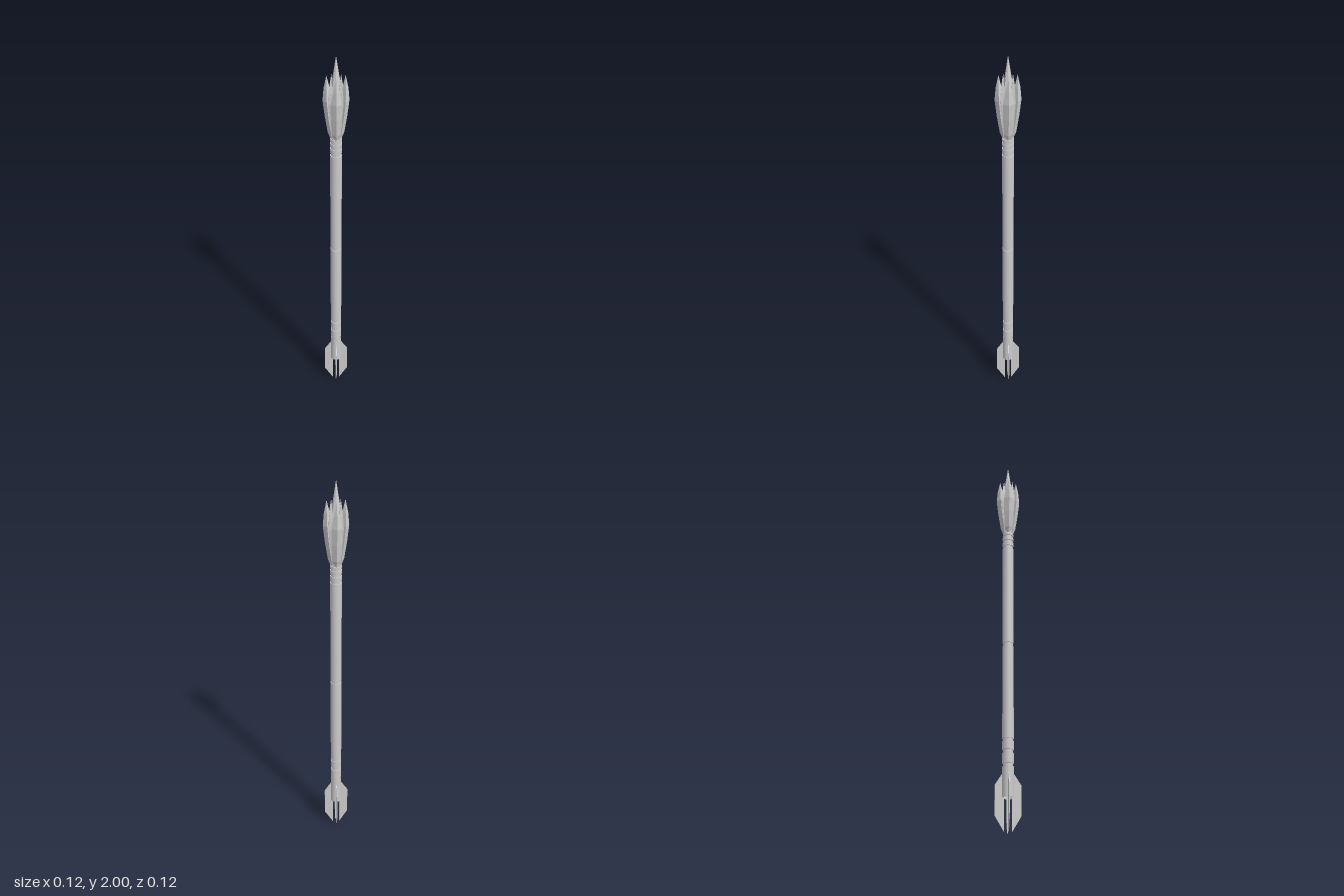
import * as THREE from 'three';

const flat = new THREE.MeshStandardMaterial({ color: 0xcccccc, flatShading: true, side: THREE.DoubleSide });
const smooth = new THREE.MeshStandardMaterial({ color: 0xcccccc, side: THREE.DoubleSide });

function add(parent, name, geometry, material) {
  const mesh = new THREE.Mesh(geometry, material);
  mesh.name = name;
  parent.add(mesh);
  return mesh;
}

// Pointed tongue along +x: four-sided cross-sections [y, inner x, outer x, half width]
function tongueGeometry(sections) {
  const pos = [], index = [];
  for (const [y, inner, outer, w] of sections) {
    const mid = inner + (outer - inner) * 0.55;
    pos.push(outer, y, 0, mid, y, -w, inner, y, 0, mid, y, w);
  }
  for (let s = 0; s < sections.length - 1; s++) {
    for (let i = 0; i < 4; i++) {
      const a = s * 4 + i, b = s * 4 + (i + 1) % 4;
      index.push(a, b, b + 4, a, b + 4, a + 4);
    }
  }
  const g = new THREE.BufferGeometry();
  g.setAttribute('position', new THREE.Float32BufferAttribute(pos, 3));
  g.setIndex(index);
  g.computeVertexNormals();
  return g;
}

export function createModel() {
  const group = new THREE.Group();

  // Shaft sections, with narrow grooves left between them
  const R = 0.028, bands = [
    [0.16, 0.31], [0.324, 0.376], [0.39, 0.435], [0.446, 0.93],
    [0.944, 1.49], [1.502, 1.526], [1.536, 1.556], [1.564, 1.58],
  ];
  const shaft = new THREE.Group();
  shaft.name = 'shaft';
  group.add(shaft);
  bands.forEach(([y0, y1], i) => {
    add(shaft, 'shaftSection', new THREE.CylinderGeometry(R, R, y1 - y0, 20, 1, i === 0), smooth)
      .position.y = (y0 + y1) / 2;
  });
  add(shaft, 'shaftCore', new THREE.CylinderGeometry(0.0245, 0.0245, 1.38, 20), smooth).position.y = 0.89;

  // Four tail fins reaching below the shaft
  const outline = [[0.018, 0], [0.062, 0.075], [0.062, 0.222], [0.028, 0.275], [0.018, 0.275]];
  const finShape = new THREE.Shape(outline.map(p => new THREE.Vector2(...p)));
  const finGeometry = new THREE.ExtrudeGeometry(finShape, { depth: 0.005, bevelEnabled: false });
  finGeometry.translate(0, 0, -0.0025);

  // Flame tongues: large ones on the axes, smaller ones between
  const large = tongueGeometry([
    [1.58, 0, 0.026, 0.014], [1.61, 0.005, 0.038, 0.02], [1.7, 0.015, 0.052, 0.025],
    [1.78, 0.02, 0.061, 0.026], [1.84, 0.028, 0.056, 0.015], [1.905, 0.043, 0.043, 0],
  ]);
  const small = tongueGeometry([
    [1.58, 0, 0.026, 0.012], [1.64, 0.005, 0.035, 0.016], [1.77, 0.012, 0.049, 0.018],
    [1.83, 0.018, 0.045, 0.012], [1.9, 0.031, 0.031, 0],
  ]);
  const flame = new THREE.Group();
  flame.name = 'flame';
  group.add(flame);
  for (let i = 0; i < 4; i++) {
    const angle = i * Math.PI / 2;
    add(group, 'tailFin', finGeometry, flat).rotation.y = angle;
    add(flame, 'largeTongue', large, flat).rotation.y = angle;
    add(flame, 'smallTongue', small, flat).rotation.y = angle + 0.7;
  }

  // Central spike
  const spike = [[0, 1.58], [0.025, 1.58], [0.034, 1.66], [0.036, 1.76], [0.025, 1.84], [0.012, 1.92], [0, 2]];
  add(flame, 'centreSpike', new THREE.LatheGeometry(spike.map(p => new THREE.Vector2(...p)), 8), flat);

  return group;
}
